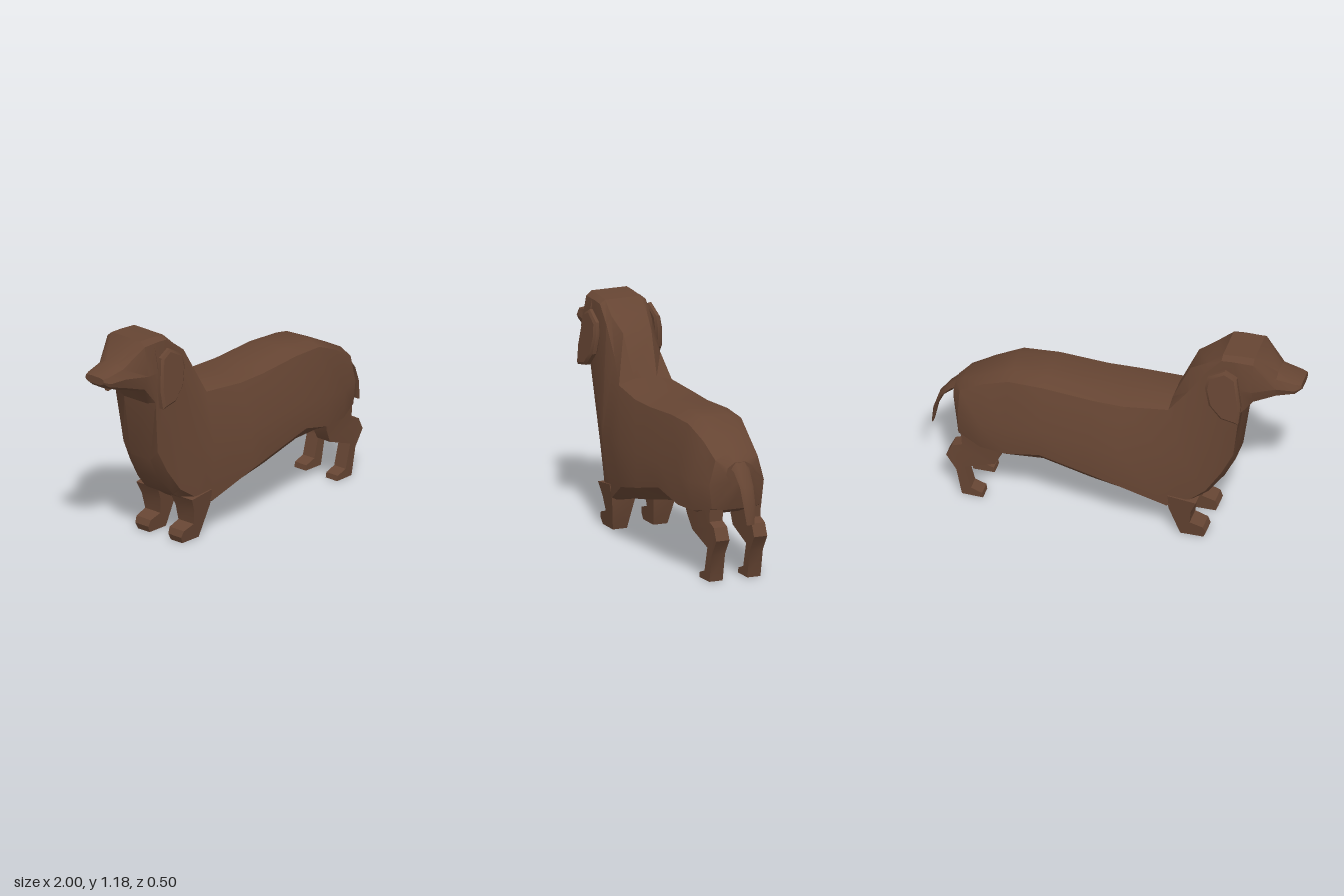
import * as THREE from 'three';
import { toCreasedNormals } from 'three/addons/utils/BufferGeometryUtils.js';

// Skin a list of closed rings (ordered towards +x) and cap both ends
function loft(rings, crease = 0.55) {
  const n = rings[0].length, pos = rings.flat(2), idx = [];
  for (let i = 0; i < rings.length - 1; i++) {
    for (let j = 0; j < n; j++) {
      const k = (j + 1) % n;
      const a = i * n + j, b = a + n, c = i * n + k, d = c + n;
      idx.push(a, b, c, b, d, c);
    }
  }
  const e = (rings.length - 1) * n;
  for (let j = 1; j < n - 1; j++) idx.push(0, j, j + 1, e, e + j + 1, e + j);
  const g = new THREE.BufferGeometry();
  g.setAttribute('position', new THREE.Float32BufferAttribute(pos, 3));
  g.setIndex(idx);
  return toCreasedNormals(g, crease);
}

// Extrude a side outline, then fit its thickness between inner and outer z
function slab(points, side, inner, outer, bevel = 0) {
  const shape = new THREE.Shape(points.map(p => new THREE.Vector2(...p)));
  const g = new THREE.ExtrudeGeometry(shape, {
    depth: 1 - 2 * bevel, bevelEnabled: bevel > 0, bevelThickness: bevel,
    bevelSize: 0.014, bevelOffset: -0.014, bevelSegments: 1,
  });
  const p = g.attributes.position;
  for (let i = 0; i < p.count; i++) {
    const x = p.getX(i), y = p.getY(i), t = p.getZ(i) + bevel;
    const a = inner(x, y), b = outer(x, y);
    p.setZ(i, side > 0 ? a + (b - a) * t : -b + (b - a) * t);
  }
  return toCreasedNormals(g, 0.5);
}

// Sections: x, then (half width, y) from the underside up to the ridge
const headSections = [
  [-1.0, 0.04, 0.99, 0.06, 1.0, 0.065, 1.01, 0.06, 1.025, 0.03, 1.03],
  [-0.97, 0.04, 0.965, 0.08, 0.98, 0.088, 1.0, 0.07, 1.03, 0.035, 1.04],
  [-0.87, 0.05, 0.93, 0.085, 0.95, 0.1, 1.0, 0.08, 1.05, 0.04, 1.07],
  [-0.76, 0.07, 0.9, 0.13, 0.92, 0.16, 1.0, 0.13, 1.155, 0.1, 1.18],
  [-0.688, 0.08, 0.81, 0.14, 0.83, 0.16, 1.0, 0.13, 1.155, 0.1, 1.178],
  [-0.65, 0.07, 0.48, 0.12, 0.54, 0.16, 0.85, 0.13, 1.155, 0.1, 1.175],
  [-0.59, 0.07, 0.36, 0.13, 0.42, 0.165, 0.8, 0.13, 1.15, 0.1, 1.17],
];
const trunkSections = [
  [-0.51, 0.1, 0.26, 0.15, 0.3, 0.175, 0.65, 0.13, 1.06, 0.1, 1.1],
  [-0.41, 0.13, 0.195, 0.185, 0.23, 0.2, 0.5, 0.13, 0.91, 0.08, 1.03],
  [-0.31, 0.16, 0.175, 0.19, 0.19, 0.205, 0.5, 0.15, 0.785, 0.065, 0.81],
  [-0.07, 0.17, 0.24, 0.25, 0.31, 0.25, 0.53, 0.17, 0.77, 0.07, 0.79],
  [0.1, 0.17, 0.275, 0.238, 0.345, 0.238, 0.53, 0.165, 0.77, 0.07, 0.79],
  [0.36, 0.16, 0.335, 0.235, 0.41, 0.235, 0.55, 0.16, 0.79, 0.08, 0.815],
  [0.55, 0.13, 0.325, 0.21, 0.36, 0.215, 0.53, 0.15, 0.785, 0.08, 0.812],
  [0.69, 0.11, 0.33, 0.19, 0.36, 0.205, 0.52, 0.13, 0.725, 0.07, 0.747],
  [0.82, 0.06, 0.38, 0.14, 0.39, 0.155, 0.52, 0.12, 0.65, 0.05, 0.682],
  [0.865, 0.03, 0.52, 0.06, 0.54, 0.08, 0.58, 0.07, 0.615, 0.03, 0.64],
];
function ring([x, ...v]) {
  const half = [];
  for (let i = 0; i < v.length; i += 2) half.push([x, v[i + 1], v[i]]);
  return [...half, ...half.map(([a, y, z]) => [a, y, -z]).reverse()];
}

// Tail stations: upper x, y, lower x, y, half width
const tailStations = [
  [0.82, 0.68, 0.82, 0.58, 0.06],
  [0.9, 0.605, 0.87, 0.585, 0.045],
  [0.96, 0.525, 0.93, 0.53, 0.038],
  [0.99, 0.43, 0.965, 0.455, 0.034],
  [1.0, 0.335, 0.99, 0.335, 0.022],
];

const frontLegOutline = [
  [-0.47, 0.24], [-0.44, 0.17], [-0.43, 0.09], [-0.5, 0.068], [-0.515, 0.035],
  [-0.5, 0], [-0.375, 0], [-0.32, 0.175], [-0.32, 0.26],
];
const hindLegOutline = [
  [0.56, 0.45], [0.58, 0.32], [0.62, 0.24], [0.785, 0.18], [0.75, 0.05],
  [0.69, 0.028], [0.685, 0], [0.8, 0], [0.83, 0.15], [0.885, 0.235],
  [0.855, 0.3], [0.8, 0.32], [0.81, 0.45],
];
const earOutline = [
  [-0.685, 1.085], [-0.62, 1.12], [-0.53, 1.07], [-0.517, 1.0], [-0.54, 0.9],
  [-0.605, 0.83], [-0.7, 0.812], [-0.71, 0.92],
];

export function createModel() {
  const dog = new THREE.Group();
  dog.name = 'dog';
  const coat = new THREE.MeshStandardMaterial({ color: 0x664533 });
  coat.name = 'brown coat';
  const add = (name, geometry) => {
    const mesh = new THREE.Mesh(geometry, coat);
    mesh.name = name;
    dog.add(mesh);
  };

  // Head, neck and trunk are one continuous skin
  add('body', loft([...headSections, ...trunkSections].map(ring)));

  // Drooping tail
  add('tail', loft(tailStations.map(([tx, ty, bx, by, w]) => [
    [bx, by, w * 0.6], [(tx + bx) / 2, (ty + by) / 2, w], [tx, ty, w * 0.5],
    [tx, ty, -w * 0.5], [(tx + bx) / 2, (ty + by) / 2, -w], [bx, by, -w * 0.6],
  ]), 0.9));

  // Paired legs and ears
  for (const side of [1, -1]) {
    const label = side > 0 ? 'Left' : 'Right';
    add('frontLeg' + label, slab(frontLegOutline, side,
      (x, y) => 0.075 - 0.13 * y, (x, y) => 0.155 + 0.17 * y));
    add('hindLeg' + label, slab(hindLegOutline, side,
      () => 0.07,
      (x, y) => (x < 0.8 ? 0.15 + 0.16 * Math.max(0, y - 0.18) : 0.145)));
    add('ear' + label, slab(earOutline, side,
      (x, y) => 0.15 + 0.06 * (1.12 - y),
      (x, y) => 0.183 + 0.11 * (1.12 - y), 0.25));
  }
  return dog;
}
